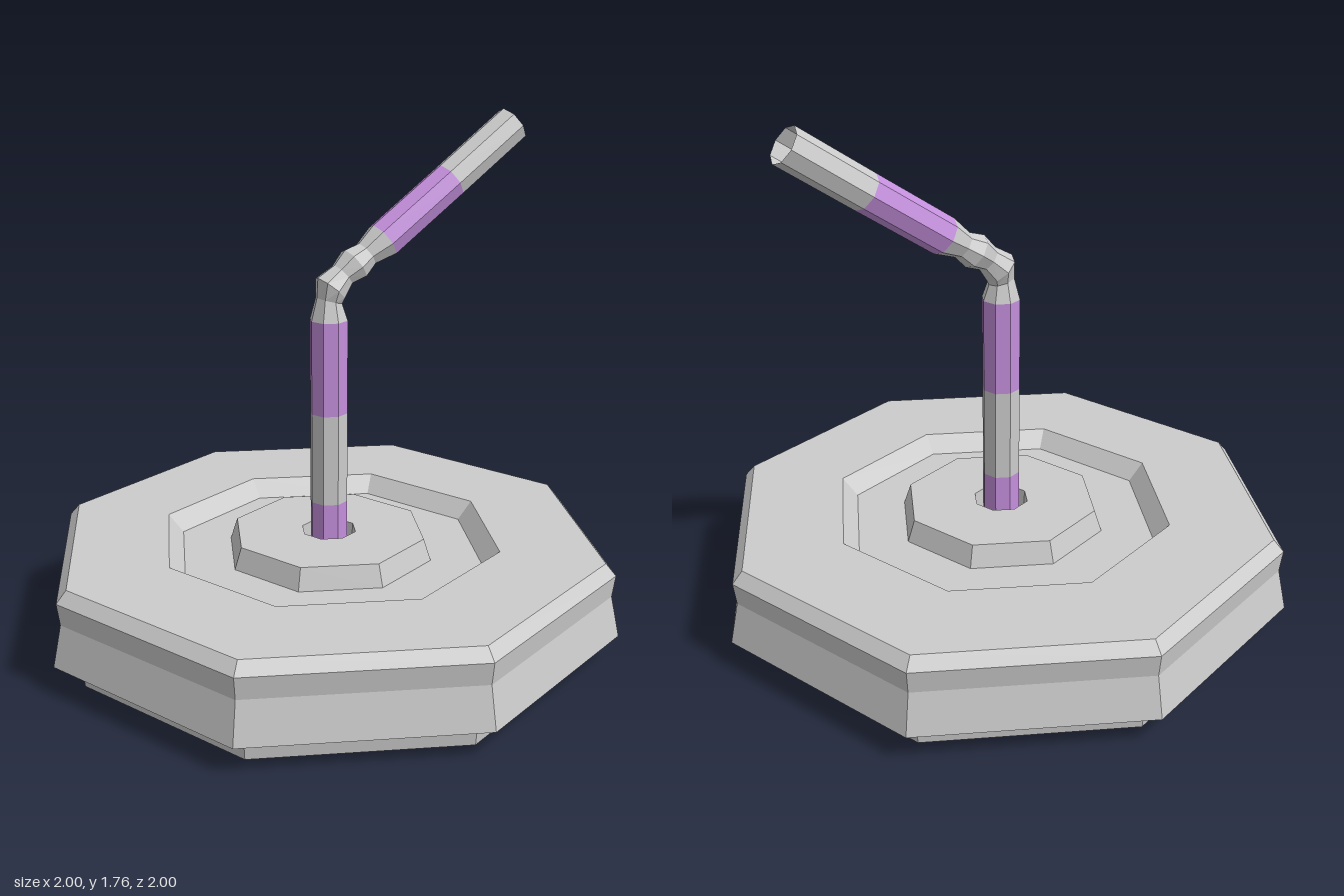
import * as THREE from 'three';

const SIDES = 8;

const material = (color) =>
  new THREE.MeshStandardMaterial({ color, flatShading: true, side: THREE.DoubleSide });

// Thin octagonal shell turned from a [radius, height] profile
function turned(name, profile, mat) {
  const points = profile.map(([r, y]) => new THREE.Vector2(r, y));
  const mesh = new THREE.Mesh(new THREE.LatheGeometry(points, SIDES), mat);
  mesh.name = name;
  return mesh;
}

// Open tube through rings of [x, y, tilt from vertical in degrees, radius]
function ringTube(name, rings, mat) {
  const positions = [];
  const index = [];
  rings.forEach(([x, y, tilt, r]) => {
    const t = THREE.MathUtils.degToRad(tilt);
    for (let i = 0; i < SIDES; i++) {
      const a = (i / SIDES) * Math.PI * 2;
      const u = r * Math.cos(a);
      positions.push(x + u * Math.cos(t), y - u * Math.sin(t), r * Math.sin(a));
    }
  });
  for (let k = 0; k < rings.length - 1; k++) {
    for (let i = 0; i < SIDES; i++) {
      const j = (i + 1) % SIDES;
      const a = k * SIDES + i, b = k * SIDES + j;
      const c = a + SIDES, d = b + SIDES;
      index.push(a, c, b, b, c, d);
    }
  }
  const geometry = new THREE.BufferGeometry();
  geometry.setAttribute('position', new THREE.Float32BufferAttribute(positions, 3));
  geometry.setIndex(index);
  geometry.computeVertexNormals();
  const mesh = new THREE.Mesh(geometry, mat);
  mesh.name = name;
  return mesh;
}

export function createModel() {
  const model = new THREE.Group();
  model.name = 'cupLidWithStraw';
  const grey = material(0xcccccc);
  const purple = material(0xc48fdc);

  // Lid: lower skirt, overhanging rim, recessed ring, raised centre, straw hole collar
  model.add(turned('lid', [
    [0.9, 0], [0.91, 0.095],
    [1, 0.095], [0.97, 0.235], [0.98, 0.31], [0.945, 0.35],
    [0.595, 0.35], [0.54, 0.29],
    [0.36, 0.29], [0.335, 0.365],
    [0.095, 0.365], [0.09, 0.29], [0.068, 0.25],
  ], grey));

  const straw = new THREE.Group();
  straw.name = 'straw';
  const R = 0.065;

  // Upright striped section
  const heights = [0.16, 0.475, 0.79, 1.11];
  for (let i = 0; i < 3; i++) {
    straw.add(ringTube('strawLowerBand' + (i + 1),
      [[0, heights[i], 0, R], [0, heights[i + 1], 0, R]], i % 2 ? grey : purple));
  }

  // Pleated bend
  straw.add(ringTube('strawBend', [
    [0, 1.11, 0, R],
    [0, 1.175, 15, 0.046],
    [0.005, 1.215, 40, 0.06],
    [0.05, 1.255, 50, 0.045],
    [0.095, 1.287, 55, 0.06],
    [0.14, 1.315, 55, 0.046],
    [0.205, 1.355, 55, R],
  ], grey));

  // Slanted striped section, open at the tip
  const slant = [[0.205, 1.355], [0.465, 1.535], [0.715, 1.71]];
  for (let i = 0; i < 2; i++) {
    straw.add(ringTube('strawUpperBand' + (i + 1),
      [[...slant[i], 55, R], [...slant[i + 1], 55, R]], i ? grey : purple));
  }

  model.add(straw);
  return model;
}
